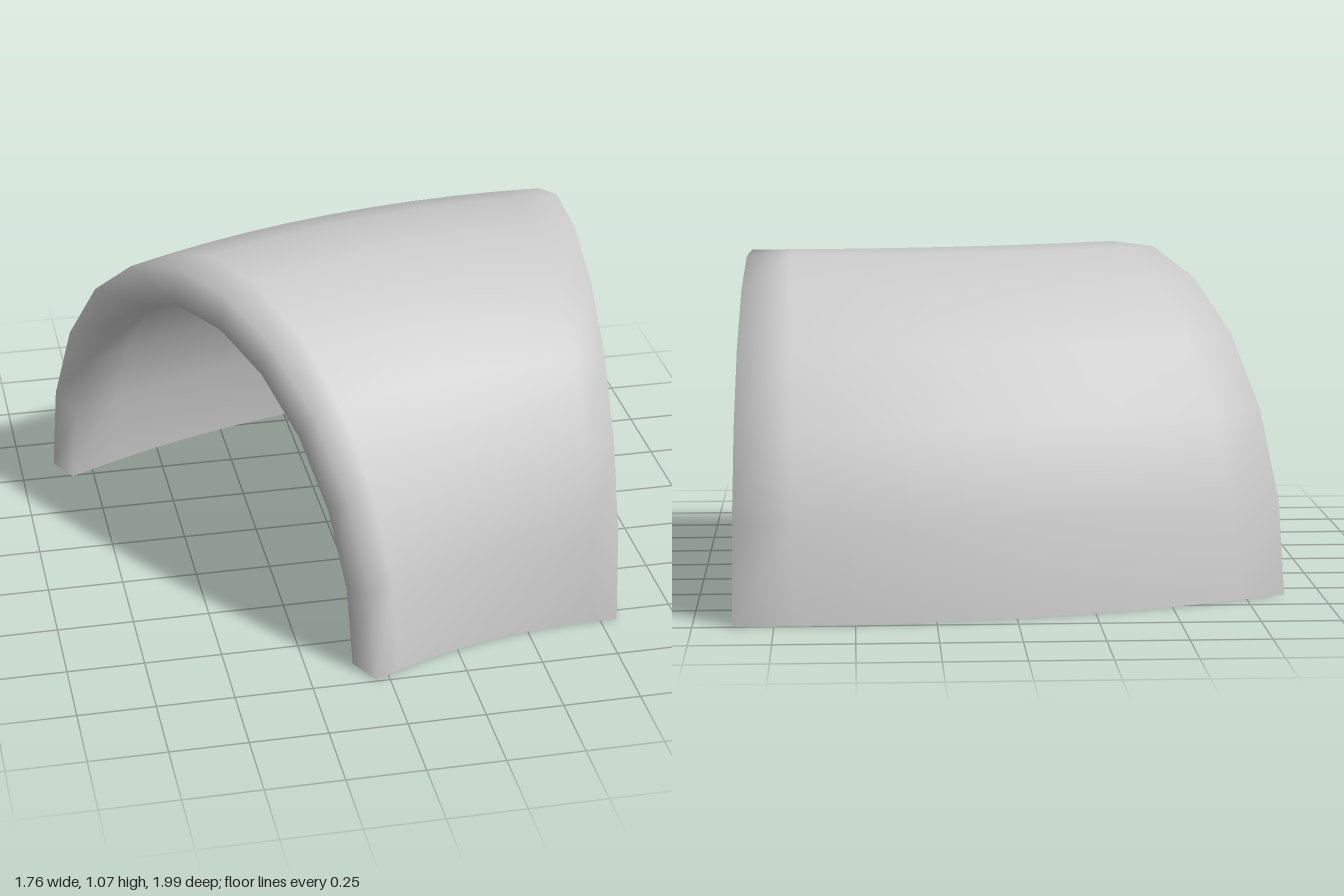
import * as THREE from 'three';

const ARCH = 11, BEND = 10;              // facets over the arch, steps along the bend
const CENTRE_X = 0.74, CENTRE_Z = 2.48;  // pivot of the bend
const MID_RADIUS = 2.58;
const START = THREE.MathUtils.degToRad(-27.75), SWEEP = THREE.MathUtils.degToRad(30);
const OUTER = [0.9, 1.08], INNER = [0.78, 0.945]; // half width and height of the ellipses

// Point on the bent arch: t runs over the arch, k along the bend
function point([rx, ry], i, k) {
  const t = Math.PI * i / ARCH, a = START + SWEEP * k / BEND;
  const r = MID_RADIUS + rx * Math.cos(t);
  return [CENTRE_X + r * Math.sin(a), ry * Math.sin(t), CENTRE_Z - r * Math.cos(a)];
}

function makeGeometry(positions, index) {
  const g = new THREE.BufferGeometry();
  g.setAttribute('position', new THREE.Float32BufferAttribute(positions, 3));
  g.setIndex(index);
  g.computeVertexNormals();
  return g;
}

// Closed loops (out along the outer skin, back along the inner one) swept over the arch
function vaultGeometry() {
  const positions = [], index = [], n = 2 * (BEND + 1);
  for (let i = 0; i <= ARCH; i++) {
    for (let k = 0; k <= BEND; k++) positions.push(...point(OUTER, i, k));
    for (let k = BEND; k >= 0; k--) positions.push(...point(INNER, i, k));
  }
  for (let i = 0; i < ARCH; i++) {
    for (let k = 0; k < n; k++) {
      const a = i * n + k, b = i * n + (k + 1) % n;
      index.push(a, a + n, b, b, a + n, b + n);
    }
  }
  return makeGeometry(positions, index);
}

// Flat strip closing the underside of one wall
function footGeometry(i) {
  const positions = [], index = [];
  for (let k = 0; k <= BEND; k++) positions.push(...point(OUTER, i, k), ...point(INNER, i, k));
  for (let k = 0; k < BEND; k++) {
    const o = 2 * k;
    if (i === 0) index.push(o, o + 2, o + 3, o, o + 3, o + 1);
    else index.push(o, o + 3, o + 2, o, o + 1, o + 3);
  }
  return makeGeometry(positions, index);
}

export function createModel() {
  const model = new THREE.Group();
  model.name = 'curvedTunnelSection';
  const material = new THREE.MeshStandardMaterial({ color: 0xcccccc });
  const add = (name, geometry) => {
    const mesh = new THREE.Mesh(geometry, material);
    mesh.name = name;
    model.add(mesh);
  };
  add('vault', vaultGeometry());
  add('backWallFoot', footGeometry(0));
  add('frontWallFoot', footGeometry(ARCH));
  return model;
}
